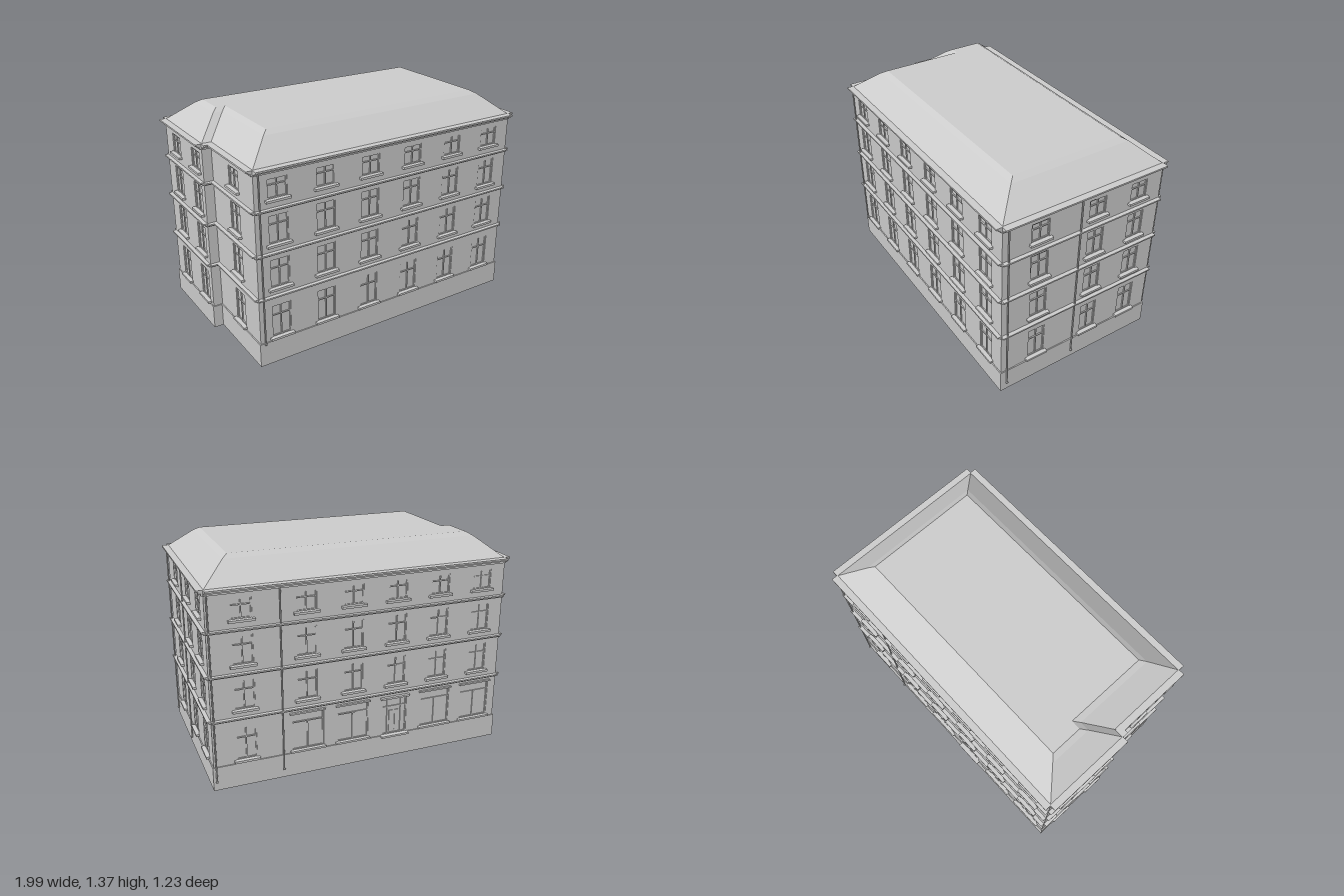
import * as THREE from 'three';

const mat = new THREE.MeshStandardMaterial({ color: 0xcccccc, flatShading: true, side: THREE.DoubleSide });

// Footprint corners [x, z, inward x, inward z]: front edge first, then round to the stepped left side
const FOOT = [
  [-0.893, 0.554, 1, -1], [0.945, 0.554, -1, -1], [0.945, -0.55, -1, 1],
  [-0.952, -0.55, 1, 1], [-0.952, 0.03, 1, -1], [-0.893, 0.03, 1, -1],
];
const inset = d => FOOT.map(([x, z, sx, sz]) => new THREE.Vector2(x + sx * d, z + sz * d));
const flat = pts => pts.map(p => new THREE.Vector2(p.x, -p.y));

const FLOORS = [[0.172, 0.38], [0.495, 0.675], [0.77, 0.945], [1.04, 1.16]];
const WALL_TOP = 1.225, WALL_BASE = 0.14, WALL_DEPTH = 0.014;

function add(parent, name, geometry, x = 0, y = 0, z = 0) {
  const mesh = new THREE.Mesh(geometry, mat);
  mesh.name = name;
  mesh.position.set(x, y, z);
  parent.add(mesh);
  return mesh;
}
const box = (parent, name, w, h, d, x, y, z) => add(parent, name, new THREE.BoxGeometry(w, h, d), x, y, z);

function rectPath(Type, x0, y0, x1, y1) {
  return new Type([[x0, y0], [x1, y0], [x1, y1], [x0, y1]].map(p => new THREE.Vector2(...p)));
}

// Frame, bars and pane set into an opening; local z = 0 is the wall's outer face
function fillOpening(parent, o) {
  const g = new THREE.Group();
  g.name = o.kind;
  g.position.set(o.u, o.y0, 0);
  parent.add(g);
  const { w } = o, h = o.y1 - o.y0, t = 0.007;
  box(g, 'pane', w, h, 0.003, 0, h / 2, -0.0115);
  for (const s of [-1, 1]) box(g, 'frameSide', t, h, 0.008, s * (w - t) / 2, h / 2, -0.008);
  for (const y of [t / 2, h - t / 2]) box(g, 'frameRail', w - 2 * t, t, 0.008, 0, y, -0.008);
  const split = h * (o.kind === 'window' ? 0.68 : 0.76);
  box(g, 'transom', w - 2 * t, t, 0.009, 0, split, -0.0075);
  if (o.kind === 'window') {
    box(g, 'mullion', t, h - 2 * t, 0.009, 0, h / 2, -0.0075);
    box(g, 'sill', w + 0.03, 0.014, 0.028, 0, -0.007, 0.008);
  } else if (o.kind === 'shopWindow') {
    box(g, 'mullion', t, split, 0.009, 0, split / 2, -0.0075);
    box(g, 'sill', w + 0.02, 0.012, 0.024, 0, -0.006, 0.006);
    box(g, 'lintel', w + 0.02, 0.01, 0.02, 0, h + 0.005, 0.004);
  } else {
    // Entrance: narrow side lights around a panelled leaf
    for (const s of [-1, 1]) {
      box(g, 'doorPost', t, h, 0.009, s * w * 0.28, h / 2, -0.0075);
      box(g, 'doorPanel', w * 0.17, split * 0.75, 0.006, s * w * 0.12, split * 0.48, -0.008);
    }
    box(g, 'doorStep', w + 0.02, 0.012, 0.03, 0, -0.006, 0.012);
    box(g, 'lintel', w + 0.03, 0.012, 0.026, 0, h + 0.006, 0.006);
  }
}

// One wall between two corners with its openings, string courses, cornice and downpipes
function buildWall(parent, name, a, b, openings, pipes) {
  const length = a.distanceTo(b);
  const g = new THREE.Group();
  g.name = name;
  g.position.set(a.x, 0, a.y);
  g.rotation.y = Math.atan2(a.y - b.y, b.x - a.x);
  parent.add(g);

  const shape = rectPath(THREE.Shape, 0, WALL_BASE, length, WALL_TOP);
  for (const o of openings) {
    shape.holes.push(rectPath(THREE.Path, o.u - o.w / 2, o.y0, o.u + o.w / 2, o.y1));
    fillOpening(g, o);
  }
  add(g, 'wallFace', new THREE.ExtrudeGeometry(shape, { depth: WALL_DEPTH, bevelEnabled: false }), 0, 0, -WALL_DEPTH);

  const ledge = (part, y0, y1, out) => box(g, part, length, y1 - y0, out, length / 2, (y0 + y1) / 2, out / 2);
  for (const y of [0.443, 0.717, 0.982]) {
    ledge('stringCourse', y - 0.003, y + 0.006, 0.024);
    ledge('stringCourseFoot', y - 0.012, y - 0.003, 0.011);
  }
  ledge('corniceSlab', 1.215, WALL_TOP, 0.037);
  ledge('corniceMiddle', 1.205, 1.215, 0.025);
  ledge('corniceFoot', 1.192, 1.205, 0.011);

  for (const [u, bottom] of pipes) {
    add(g, 'downpipe', new THREE.CylinderGeometry(0.005, 0.005, 1.2 - bottom, 8), u, (1.2 + bottom) / 2, 0.014);
    add(g, 'pipeShoe', new THREE.SphereGeometry(0.008, 8, 6), u, bottom, 0.016);
  }
}

// Roof lofted through inset rings and closed by a flat top
function buildRoof(parent) {
  const rings = [[0.012, WALL_TOP], [0.155, 1.345], [0.19, 1.366]];
  const pos = [];
  for (let r = 0; r < rings.length - 1; r++) {
    const [lo, hi] = [rings[r], rings[r + 1]];
    const A = inset(lo[0]), B = inset(hi[0]);
    A.forEach((p, i) => {
      const j = (i + 1) % A.length;
      const p0 = [p.x, lo[1], p.y], p1 = [A[j].x, lo[1], A[j].y];
      const q0 = [B[i].x, hi[1], B[i].y], q1 = [B[j].x, hi[1], B[j].y];
      pos.push(...p0, ...p1, ...q1, ...p0, ...q1, ...q0);
    });
  }
  const slopes = new THREE.BufferGeometry();
  slopes.setAttribute('position', new THREE.Float32BufferAttribute(pos, 3));
  slopes.computeVertexNormals();
  add(parent, 'roofSlopes', slopes);
  const top = new THREE.ShapeGeometry(new THREE.Shape(flat(inset(0.19))));
  add(parent, 'roofTop', top.rotateX(-Math.PI / 2), 0, 1.366, 0);
}

export function createModel() {
  const model = new THREE.Group();
  model.name = 'apartmentBuilding';
  const house = new THREE.Group();
  house.name = 'house';
  house.rotation.y = 0.036;
  model.add(house);

  // Plinth ring, open underneath
  const plinth = new THREE.Shape(flat(FOOT.map(p => new THREE.Vector2(p[0], p[1]))));
  plinth.holes.push(new THREE.Path(flat(inset(0.03))));
  const plinthGeo = new THREE.ExtrudeGeometry(plinth, { depth: 0.15, bevelEnabled: false });
  add(house, 'plinth', plinthGeo.rotateX(-Math.PI / 2));

  // Columns of windows and downpipes, given as coordinates along each wall's axis
  const backColumns = [0.736, 0.357, 0.065, -0.217, -0.5, -0.789];
  const walls = [
    { name: 'frontWall', axis: 'x', w: 0.125, at: [-0.745, -0.44, -0.135, 0.17, 0.475, 0.775], pipes: [[-0.86, 0.15]] },
    { name: 'rightWall', axis: 'y', w: 0.116, at: [0.304, -0.08, -0.376], pipes: [[0.514, 0.06], [0.04, 0.06]] },
    { name: 'backWall', axis: 'x', w: 0.125, at: backColumns, pipes: [[0.925, 0.06], [0.515, 0.06]], shops: true },
    { name: 'leftRearWall', axis: 'y', w: 0.116, at: [-0.376, -0.08], pipes: [] },
    { name: 'leftReturnWall', axis: 'x', w: 0, at: [], pipes: [] },
    { name: 'leftFrontWall', axis: 'y', w: 0.116, at: [0.304], pipes: [] },
  ];
  const corners = inset(0.007);
  walls.forEach((wall, i) => {
    const a = corners[i], b = corners[(i + 1) % corners.length];
    const along = c => Math.abs(c - a[wall.axis]);
    const openings = [];
    wall.at.forEach((c, col) => FLOORS.forEach(([y0, y1], floor) => {
      const o = { kind: 'window', u: along(c), w: wall.w, y0, y1 };
      if (wall.shops && floor === 0 && col > 0) {
        if (col === 3) Object.assign(o, { kind: 'entrance', w: 0.165, y0: 0.152, y1: 0.4 });
        else Object.assign(o, { kind: 'shopWindow', w: 0.205, y0: 0.165, y1: 0.405 });
      }
      openings.push(o);
    }));
    buildWall(house, wall.name, a, b, openings, wall.pipes.map(([c, y]) => [along(c), y]));
  });

  buildRoof(house);
  return model;
}
